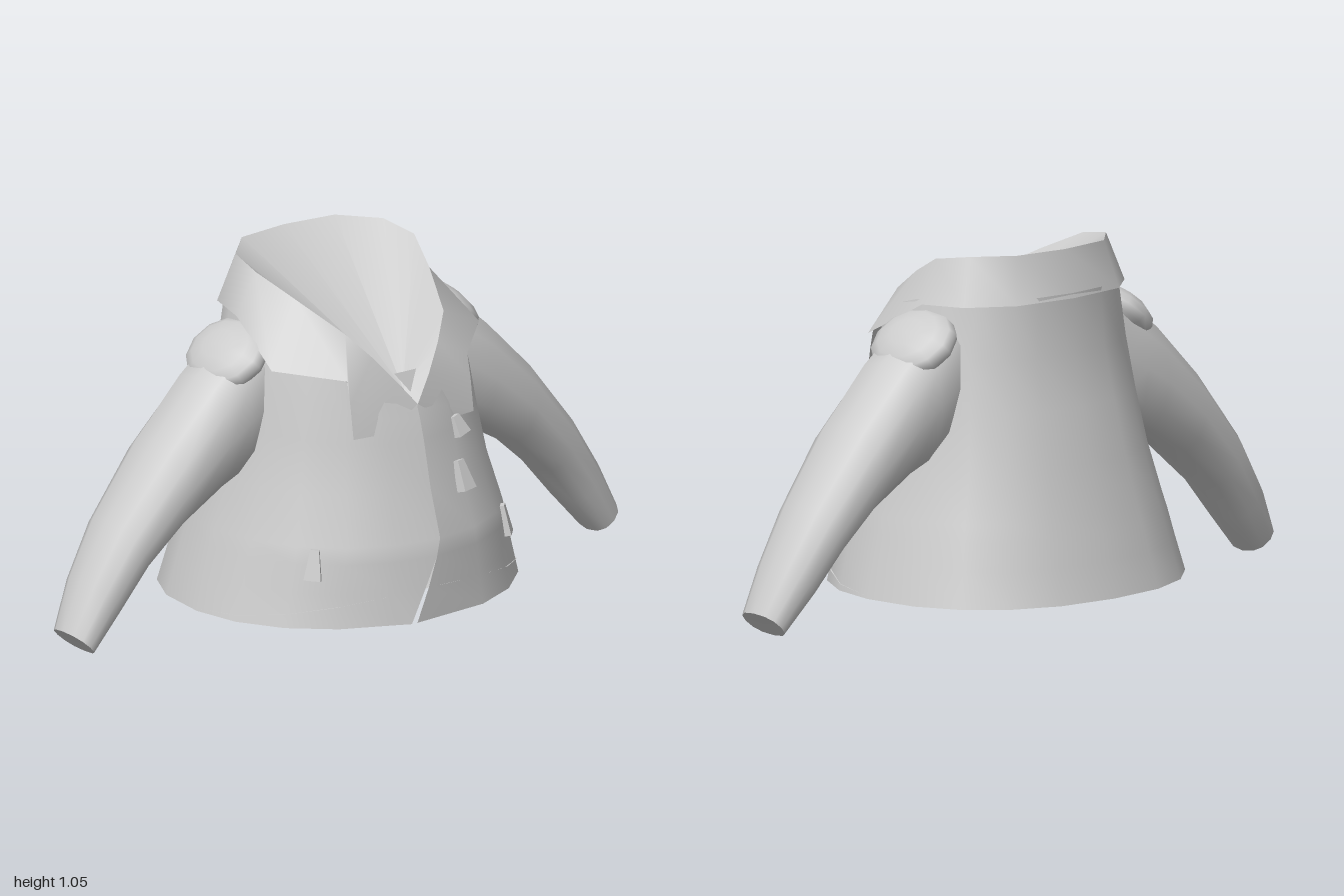
import * as THREE from 'three';

const mat = new THREE.MeshStandardMaterial({ color: 0xcccccc, side: THREE.DoubleSide });
const flat = new THREE.MeshStandardMaterial({ color: 0xcccccc, flatShading: true });

const mirrorRow = (row) => row.map(([x, y, z]) => [-x, y, z]).reverse();
const signedPow = (v, p) => Math.sign(v) * Math.abs(v) ** p;

// Skin a surface over rows of [x, y, z] points
function loft(rows, closed) {
  const n = rows[0].length, index = [];
  for (let i = 0; i < rows.length - 1; i++) {
    for (let j = 0; j < (closed ? n : n - 1); j++) {
      const k = (j + 1) % n, a = i * n + j, b = i * n + k;
      index.push(a, b, a + n, b, b + n, a + n);
    }
  }
  const g = new THREE.BufferGeometry();
  g.setAttribute('position', new THREE.Float32BufferAttribute(rows.flat(2), 3));
  g.setIndex(index);
  g.computeVertexNormals();
  return g;
}

function add(group, name, geometry, material = mat) {
  const mesh = new THREE.Mesh(geometry, material);
  mesh.name = name;
  group.add(mesh);
  return mesh;
}

// Horizontal body ring from front centre round the left side; fuller at the back, tilted from yf to yb
function bodyRing(rx, zf, zb, yf, yb, n = 20) {
  const row = [];
  for (let j = 0; j <= n; j++) {
    const a = (j / n) * Math.PI * 2, c = Math.cos(a), s = Math.sin(a);
    const p = c > 0 ? 1 : 0.87;
    row.push([
      rx * signedPow(s, p),
      yb + (yf - yb) * ((1 + c) / 2) ** 4,
      c > 0 ? zf * c : zb * Math.abs(c) ** p,
    ]);
  }
  return row;
}

// Coat body: rings split at the front, where the lower rows open into a slit
function bodyGeometry() {
  // half width, front z, back z, front y, back y, slit edges x
  const rings = [
    [0.53, 0.48, -0.48, 0.055, 0.055, -0.095, -0.115],
    [0.50, 0.475, -0.452, 0.15, 0.16, -0.05, -0.062],
    [0.48, 0.47, -0.43, 0.24, 0.24, -0.015, -0.015],
    [0.465, 0.465, -0.415, 0.29, 0.29, 0, 0],
    [0.42, 0.42, -0.38, 0.43, 0.44, 0, 0],
    [0.39, 0.388, -0.342, 0.57, 0.60, 0, 0],
    [0.37, 0.37, -0.307, 0.63, 0.75, 0, 0],
    [0.335, 0.357, -0.303, 0.665, 0.93, 0, 0],
  ];
  return loft(rings.map(([rx, zf, zb, yf, yb, s0, s1]) => {
    const row = bodyRing(rx, zf, zb, yf, yb);
    row[0][0] = s0;
    row[row.length - 1][0] = s1;
    return row;
  }), false);
}

// Sleeve sections: upper x, y, lower x, y, front z, back z
const sleeveSections = [
  [0.31, 0.90, 0.33, 0.46, 0.10, -0.18],
  [0.41, 0.83, 0.40, 0.44, 0.108, -0.188],
  [0.50, 0.755, 0.47, 0.415, 0.115, -0.19],
  [0.66, 0.59, 0.61, 0.335, 0.11, -0.185],
  [0.83, 0.38, 0.74, 0.22, 0.085, -0.165],
  [0.93, 0.22, 0.83, 0.11, 0.07, -0.14],
  [1.0, 0.08, 0.92, 0.005, 0.052, -0.102],
];
function sleeveRows() {
  return sleeveSections.map(([ux, uy, lx, ly, zf, zb]) => {
    const row = [];
    for (let j = 0; j < 12; j++) {
      const a = (j / 12) * Math.PI * 2;
      const c = signedPow(Math.cos(a), 0.9) / 2, s = signedPow(Math.sin(a), 0.85) / 2;
      row.push([(ux + lx) / 2 + (ux - lx) * c, (uy + ly) / 2 + (uy - ly) * c, (zf + zb) / 2 + (zf - zb) * s]);
    }
    return row;
  });
}

// Collar half, from front centre round the left side to the back: rim and outer edge
const rimHalf = [
  [0, 0.67, 0.36], [0.06, 0.745, 0.335], [0.12, 0.82, 0.30], [0.18, 0.89, 0.25],
  [0.245, 0.97, 0.10], [0.29, 1.03, -0.03], [0.27, 1.05, -0.15], [0.17, 1.055, -0.25], [0, 1.055, -0.27],
];
const edgeHalf = [
  [0.115, 0.60, 0.352], [0.22, 0.60, 0.34], [0.22, 0.70, 0.325], [0.22, 0.77, 0.31],
  [0.38, 0.795, 0.16], [0.352, 0.905, -0.04], [0.315, 0.91, -0.18], [0.20, 0.915, -0.282], [0, 0.915, -0.306],
];
const fullLoop = (half) => [...half, ...mirrorRow(half).slice(1)];

export function createModel() {
  const model = new THREE.Group();
  model.name = 'jacket';

  add(model, 'body', bodyGeometry());

  // Underside closing the hem, rising toward the front
  const floorEdge = bodyRing(0.528, 0.472, -0.479, 0.15, 0.056);
  add(model, 'underside', loft([floorEdge.map(() => [0, 0.08, 0]), floorEdge], false));

  const rim = fullLoop(rimHalf);
  add(model, 'collar', loft([fullLoop(edgeHalf), rim], false));

  // Lining sloping from the rim down to the bottom of the neckline
  add(model, 'neckLining', loft([rim, rim.map(() => [0, 0.70, 0.29])], false));
  const notch = loft([[[-0.001, 0.70, 0.325], [0.001, 0.70, 0.325]], [[-0.04, 0.755, 0.30], [0.04, 0.755, 0.30]]], false);
  add(model, 'neckNotch', notch);

  for (const side of [1, -1]) {
    const label = side > 0 ? 'left' : 'right';
    const rows = side > 0 ? sleeveRows() : sleeveRows().map(mirrorRow);
    add(model, label + 'Sleeve', loft(rows, true));

    // Closed cuff end
    const end = rows[rows.length - 1];
    add(model, label + 'Cuff', loft([end, end.map(() => [side * 0.96, 0.043, -0.025])], true));

    // Rounded shoulder overlapping the sleeve head
    const cap = add(model, label + 'Shoulder', new THREE.SphereGeometry(1, 12, 8));
    cap.scale.set(0.125, 0.06, 0.15);
    cap.position.set(side * 0.385, 0.795, -0.042);
    cap.rotation.z = -side * 0.72;
  }

  // Tapered toggles: x, y, z, height, turn, lean, tilt
  const toggles = [
    [0.125, 0.443, 0.41, 0.09, 0.2, -0.3, 0.05],
    [0.142, 0.58, 0.365, 0.06, 0.2, -0.3, 0.2],
    [0.348, 0.24, 0.318, 0.09, 0.8, -0.15, 0.05],
    [-0.348, 0.24, 0.318, 0.09, -0.8, -0.15, -0.05],
  ];
  toggles.forEach(([x, y, z, h, turn, lean, tilt], i) => {
    const g = new THREE.CylinderGeometry(0.018, 0.036, h, 4).rotateY(Math.PI / 4).scale(1, 1, 0.7);
    const toggle = add(model, 'toggle' + (i + 1), g, flat);
    toggle.position.set(x, y, z);
    toggle.rotation.set(lean, turn, tilt, 'YXZ');
  });

  return model;
}
